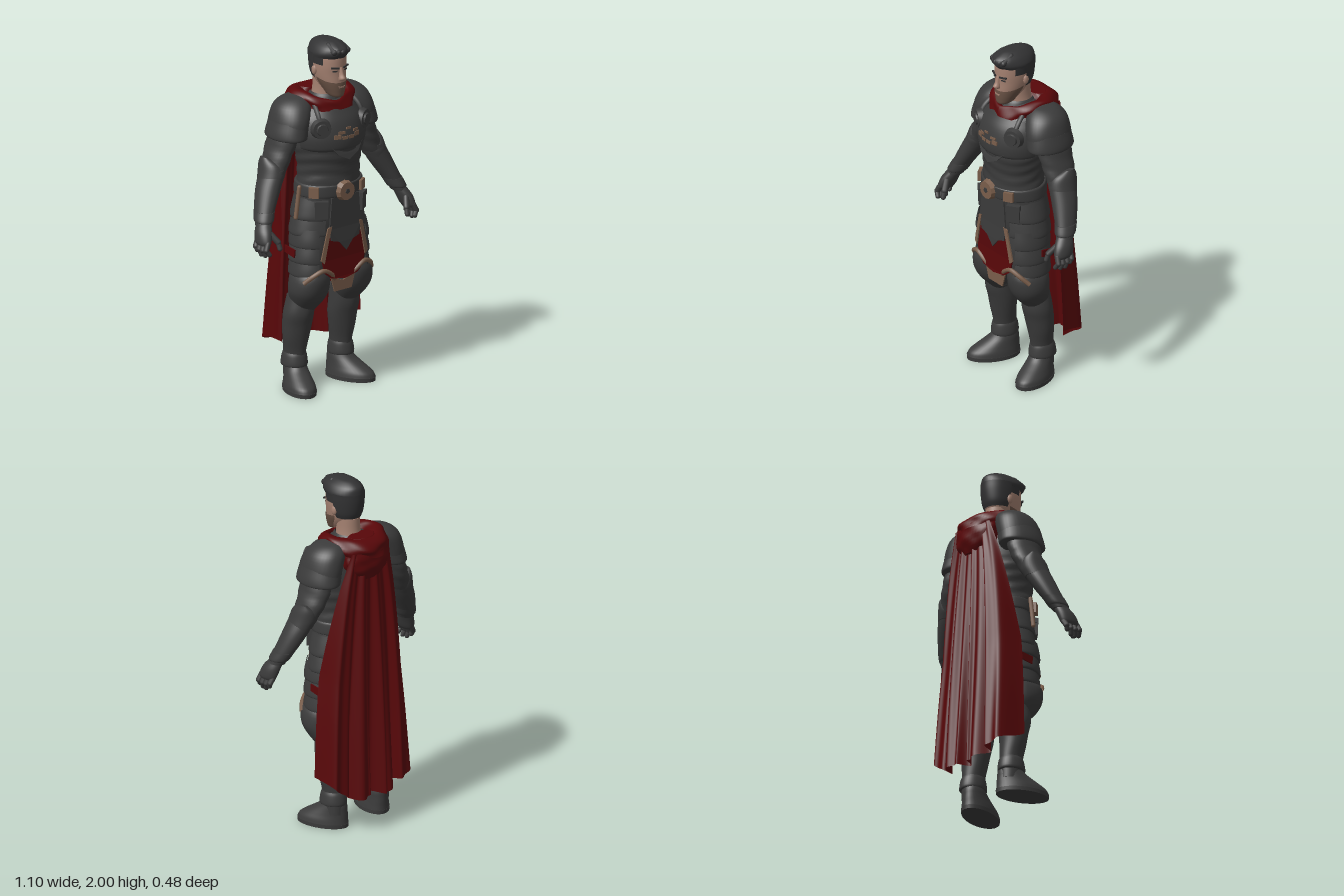
import * as THREE from 'three';
import { toCreasedNormals } from 'three/addons/utils/BufferGeometryUtils.js';

const material = (name, color) => Object.assign(new THREE.MeshStandardMaterial({ color, side: THREE.DoubleSide }), { name });
const V = (a) => new THREE.Vector3(...a);
const DEG = Math.PI / 180;

export function createModel() {
  const model = new THREE.Group();
  model.name = 'armouredKnight';
  const armour = material('dark armour', 0x3b3b3b), hairMat = material('hair', 0x323233);
  const red = material('red cloth', 0x580709), tan = material('tan leather', 0x7a5e4b);
  const skin = material('skin', 0xa38070), beardMat = material('beard', 0x685144);

  const add = (name, geometry, mat, pos = [0, 0, 0], rot = [0, 0, 0], scale = [1, 1, 1]) => {
    const m = new THREE.Mesh(geometry, mat);
    m.name = name;
    m.position.set(...pos); m.rotation.set(...rot); m.scale.set(...scale);
    model.add(m);
    return m;
  };

  // Smooth skin through horizontal rings [x, y, z, rx, rz], listed from the top down.
  // arc = [from, to] in degrees, 0 at the front and 90 at +x; side mirrors it in x; sag lowers points by their z.
  const loft = (name, mat, rings, { side = 1, arc = null, sub = 4, seg = 36, p = 2, ripple = () => 1, sag = () => 0 } = {}) => {
    const centre = new THREE.CatmullRomCurve3(rings.map((r) => V([r[0] * side, r[1], r[2]])), false, 'catmullrom');
    const radius = new THREE.CatmullRomCurve3(rings.map((r) => V([r[3], r[4], 0])), false, 'catmullrom');
    const rows = [], n = (rings.length - 1) * sub;
    for (let i = 0; i <= n; i++) rows.push([centre.getPoint(i / n), radius.getPoint(i / n), 1]);
    if (!arc) { // closed ends
      rows.unshift([rows[0][0], rows[0][1], 0], rows[0]);
      const end = rows[rows.length - 1];
      rows.push(end, [end[0], end[1], 0]);
    }
    const [a0, a1] = !arc ? [0, 360] : side > 0 ? arc : [-arc[1], -arc[0]];
    const cols = arc ? seg + 1 : seg, pos = [], idx = [];
    const pw = (v) => Math.sign(v) * Math.abs(v) ** (2 / p);
    rows.forEach(([c, r, k], j) => {
      for (let i = 0; i < cols; i++) {
        const a = (a0 + (a1 - a0) * i / seg) * DEG, f = k * ripple(a, c.y);
        const z = c.z + r.y * f * pw(Math.cos(a));
        pos.push(c.x + r.x * f * pw(Math.sin(a)), c.y - sag(z), z);
        if (j === rows.length - 1 || i === seg) continue;
        const A = j * cols + i, B = A + cols, D = j * cols + (i + 1) % cols, C = D + cols;
        idx.push(A, B, D, B, C, D);
      }
    });
    const g = new THREE.BufferGeometry();
    g.setAttribute('position', new THREE.Float32BufferAttribute(pos, 3));
    g.setIndex(idx);
    g.computeVertexNormals();
    return add(name, g, mat);
  };

  // Thin outlined plate laid on a surface z = zf(x).
  const panel = (name, mat, pts, zf, depth = 0.008, side = 1) => {
    const shape = new THREE.Shape(pts.map(([x, y]) => new THREE.Vector2(x * side, y)));
    const g = new THREE.ExtrudeGeometry(shape, { depth, bevelEnabled: false }), q = g.attributes.position;
    for (let i = 0; i < q.count; i++) q.setZ(i, q.getZ(i) + zf(q.getX(i)));
    g.computeVertexNormals();
    return add(name, g, mat);
  };

  // Rounded rod between two points, and a tube through several.
  const rod = (name, mat, a, b, r) => {
    const d = V(b).sub(V(a));
    const m = add(name, new THREE.CapsuleGeometry(r, d.length(), 4, 10), mat, V(a).add(V(b)).multiplyScalar(0.5).toArray());
    m.quaternion.setFromUnitVectors(V([0, 1, 0]), d.normalize());
  };
  const tube = (name, mat, pts, r) =>
    add(name, new THREE.TubeGeometry(new THREE.CatmullRomCurve3(pts.map(V)), 20, r, 6), mat);

  // Torso with creased cloth at the waist
  loft('torso', armour, [[0, 1.68, 0.02, 0.08, 0.07], [0, 1.64, 0.02, 0.16, 0.13], [0, 1.56, 0.05, 0.205, 0.16],
    [0, 1.48, 0.06, 0.21, 0.175], [0, 1.38, 0.06, 0.2, 0.17], [0, 1.28, 0.06, 0.182, 0.155], [0, 1.18, 0.06, 0.188, 0.155],
    [0, 1.08, 0.05, 0.205, 0.15], [0, 0.96, 0.05, 0.215, 0.135], [0, 0.84, 0.05, 0.17, 0.11]],
  { sub: 6, seg: 48, ripple: (a, y) => 1 + (y < 1.42 && y > 1.2 ? 0.018 * Math.sin(y * 95 + 2.2 * Math.sin(a * 2)) : 0) });
  loft('breastplate', armour, [[0, 1.62, 0.035, 0.18, 0.15], [0, 1.56, 0.05, 0.21, 0.172], [0, 1.48, 0.06, 0.22, 0.183],
    [0, 1.42, 0.06, 0.212, 0.182], [0, 1.4, 0.06, 0.2, 0.17]], { arc: [-85, 85] });
  const chest = (x) => 0.06 + 0.183 * Math.sqrt(1 - (x / 0.22) ** 2);
  panel('breastplatePoint', armour, [[-0.12, 1.44], [0.12, 1.44], [0.07, 1.38], [0, 1.345], [-0.07, 1.38]], (x) => chest(x) - 0.008);
  for (const [x, y, w, h] of [[-0.075, 1.485, 0.04, 0.024], [-0.032, 1.476, 0.034, 0.018], [0.01, 1.476, 0.034, 0.018], [0.055, 1.485, 0.036, 0.024],
    [-0.05, 1.508, 0.04, 0.016], [0.045, 1.51, 0.036, 0.014], [-0.008, 1.53, 0.03, 0.012]])
    panel('chestInlay', tan, [[x - w / 2, y - h / 2], [x + w / 2, y - h / 2], [x + w / 2, y + h / 2], [x - w / 2, y + h / 2]], (q) => chest(q) - 0.001, 0.005);

  // Belt and buckle
  loft('belt', armour, [[0, 1.2, 0.06, 0.193, 0.162], [0, 1.19, 0.06, 0.2, 0.165], [0, 1.14, 0.058, 0.205, 0.165], [0, 1.13, 0.057, 0.2, 0.16]]);
  const disc = (r, h, n) => toCreasedNormals(new THREE.CylinderGeometry(r * 0.85, r, h, n), 0.5);
  add('buckle', disc(0.06, 0.035, 12), tan, [-0.015, 1.165, 0.226], [Math.PI / 2, 0, 0]);
  add('buckleStud', disc(0.018, 0.008, 5), armour, [-0.015, 1.165, 0.243], [Math.PI / 2, 0, 0]);
  add('beltClasp', new THREE.BoxGeometry(0.055, 0.055, 0.02), tan, [0.125, 1.165, 0.195], [0, 0.5, 0]);
  add('beltClasp', new THREE.BoxGeometry(0.055, 0.06, 0.02), tan, [-0.178, 1.165, 0.15], [0, -0.9, 0]);
  for (const s of [1, -1]) {
    add('beltPouch', new THREE.BoxGeometry(0.07, 0.09, 0.04), armour, [s * 0.14, 1.06, 0.17], [0, s * 0.6, 0]);
    add('pouchFlap', new THREE.BoxGeometry(0.076, 0.03, 0.046), armour, [s * 0.14, 1.1, 0.17], [0, s * 0.6, 0]);
  }
  rod('hangingStrap', tan, [-0.222, 1.19, 0.08], [-0.247, 1.02, 0.08], 0.012);

  // Layered tabard
  const lap = (x) => 0.202 - 0.5 * x * x;
  panel('tabardRed', red, [[-0.1, 0.95], [0.1, 0.95], [0.15, 0.77], [0.135, 0.7], [0.09, 0.665], [0, 0.65], [-0.09, 0.665], [-0.135, 0.7], [-0.15, 0.77]], (x) => lap(x) - 0.006);
  panel('tabardDark', armour, [[-0.095, 1.13], [0.095, 1.13], [0.11, 0.95], [0.098, 0.885], [0.05, 0.87], [0.005, 0.815], [-0.045, 0.87], [-0.098, 0.885], [-0.11, 0.95]], (x) => lap(x) + 0.002);
  panel('tabardHem', tan, [[-0.085, 0.665], [0, 0.635], [0.085, 0.665], [0.06, 0.58], [-0.06, 0.58]], () => 0.18);
  for (const s of [1, -1])
    panel('tabardTrim', tan, [[0.095, 0.97], [0.122, 0.96], [0.165, 0.78], [0.143, 0.76], [0.118, 0.88]], (x) => lap(x) + 0.004, 0.008, s);

  for (const s of [1, -1]) {
    const o = { side: s }, X = (x) => x * s, leg = 0.16 - s * 0.012; // the stance is a little uneven
    // Hip and thigh plates
    for (const [y, r] of [[1.12, 0], [1.03, 0.012]])
      loft('hipPlate', armour, [[0, y, 0.05, 0.2 + r, 0.15], [0, y - 0.06, 0.05, 0.217 + r, 0.158], [0, y - 0.115, 0.05, 0.228 + r, 0.162], [0, y - 0.12, 0.05, 0.21 + r, 0.148]], { side: s, arc: [32, 165] });
    loft('thigh', armour, [[0.115, 0.98, 0.05, 0.09, 0.11], [0.125, 0.85, 0.055, 0.1, 0.125], [0.13, 0.73, 0.06, 0.095, 0.115],
      [0.14, 0.6, 0.055, 0.08, 0.1], [0.145, 0.48, 0.02, 0.07, 0.08]], o);
    for (const [y, r] of [[0.95, 0], [0.86, 0.004], [0.78, 0.004]])
      loft('thighPlate', armour, [[0.13, y, 0.06, 0.095 + r, 0.123], [0.132, y - 0.06, 0.064, 0.107 + r, 0.128], [0.133, y - 0.1, 0.064, 0.11 + r, 0.129], [0.133, y - 0.105, 0.064, 0.1, 0.12]], { side: s, arc: [18, 190] });
    const patch = panel('thighPatch', red, [[-0.035, 0.8], [0.045, 0.785], [0.05, 0.83], [-0.035, 0.84]], () => 0);
    patch.position.set(X(0.243), 0, 0.025);
    patch.rotation.y = s * Math.PI / 2;
    // Knee guard with leather edging
    loft('kneeGuard', armour, [[0.145, 0.71, 0.08, 0.075, 0.1], [0.15, 0.66, 0.08, 0.102, 0.115], [0.152, 0.59, 0.075, 0.108, 0.11],
      [0.15, 0.53, 0.057, 0.09, 0.098], [0.147, 0.46, 0.025, 0.055, 0.065]], { side: s, p: 2.2 });
    tube('kneeTrim', tan, [[X(0.055), 0.65, 0.18], [X(0.09), 0.69, 0.195], [X(0.145), 0.72, 0.197], [X(0.2), 0.695, 0.178], [X(0.24), 0.65, 0.14]], 0.013);
    // Greave with ridge, ankle band
    loft('greave', armour, [[leg - 0.01, 0.54, 0.02, 0.075, 0.08], [leg, 0.45, 0.015, 0.086, 0.084], [leg, 0.38, 0.002, 0.084, 0.08], [leg + 0.003, 0.3, -0.006, 0.075, 0.072],
      [leg + 0.003, 0.2, -0.018, 0.058, 0.066], [leg + 0.006, 0.08, -0.02, 0.055, 0.066]], { side: s, ripple: (a) => 1 + 0.06 * Math.max(0, Math.cos(a)) ** 12 });
    loft('ankleBand', armour, [[leg + 0.003, 0.215, -0.018, 0.058, 0.064], [leg + 0.004, 0.19, -0.018, 0.066, 0.074], [leg + 0.005, 0.14, -0.018, 0.07, 0.08], [leg + 0.005, 0.135, -0.018, 0.055, 0.06]], o);
    // Boot with a low toe, turned outwards
    const boot = loft('boot', armour, [[0, 0.15, -0.02, 0.055, 0.066], [0, 0.12, -0.01, 0.062, 0.083], [0, 0.095, 0.008, 0.067, 0.103], [0, 0.07, 0.028, 0.073, 0.125], [0, 0.045, 0.045, 0.08, 0.143], [0, 0.02, 0.05, 0.084, 0.15]]);
    const sole = loft('sole', armour, [[0, 0.022, 0.05, 0.085, 0.152], [0, 0, 0.05, 0.084, 0.15]]);
    for (const m of [boot, sole]) {
      m.position.x = X(leg + 0.004);
      m.rotation.y = s * 0.35;
    }
    // Pauldron in two tiers, sloping outwards
    loft('pauldron', armour, [[0.16, 1.695, -0.015, 0.02, 0.03], [0.175, 1.68, -0.015, 0.07, 0.075], [0.198, 1.64, -0.01, 0.098, 0.115],
      [0.222, 1.575, -0.002, 0.1, 0.135], [0.24, 1.5, 0, 0.095, 0.137]], o);
    loft('pauldronRim', armour, [[0.225, 1.565, 0, 0.1, 0.132], [0.24, 1.51, 0, 0.102, 0.14], [0.248, 1.475, 0, 0.098, 0.142], [0.248, 1.466, 0, 0.085, 0.125]], o);
    // Arm, elbow guard and gauntlet
    loft('upperArm', armour, [[0.25, 1.52, 0, 0.075, 0.105], [0.285, 1.42, -0.008, 0.068, 0.102], [0.315, 1.35, -0.006, 0.066, 0.092], [0.35, 1.27, 0.005, 0.06, 0.075]],
      { side: s, ripple: (a, y) => 1 + 0.025 * Math.sin(y * 80 + a * 2) });
    loft('elbowGuard', armour, [[0.387, 1.375, -0.025, 0.012, 0.025], [0.362, 1.34, -0.008, 0.05, 0.07], [0.357, 1.29, 0.003, 0.068, 0.084], [0.375, 1.24, 0.012, 0.066, 0.078]], o);
    loft('forearm', armour, [[0.345, 1.31, 0.004, 0.065, 0.08], [0.395, 1.21, 0.022, 0.065, 0.076], [0.45, 1.1, 0.055, 0.051, 0.064], [0.48, 1.03, 0.085, 0.042, 0.052]], o);
    loft('cuff', armour, [[0.452, 1.1, 0.056, 0.053, 0.066], [0.47, 1.055, 0.075, 0.051, 0.061], [0.475, 1.045, 0.08, 0.04, 0.05]], o);
    loft('palm', armour, [[0.478, 1.045, 0.085, 0.036, 0.046], [0.498, 1.0, 0.105, 0.039, 0.058], [0.511, 0.955, 0.118, 0.034, 0.06], [0.515, 0.935, 0.122, 0.024, 0.052]], o);
    for (let i = 0; i < 4; i++) {
      const z = 0.075 + i * 0.03, d = i === 0 ? 0.02 : i === 3 ? 0.01 : 0;
      const mid = [X(0.532), 0.91 + d * 0.5, z + 0.006];
      rod('finger', armour, [X(0.515), 0.95, z], mid, 0.016);
      rod('fingertip', armour, mid, [X(0.528 - i * 0.004), 0.88 + d, z + 0.014], 0.0135);
    }
    rod('thumb', armour, [X(0.482), 0.995, 0.145], [X(0.456), 0.95, 0.18], 0.017);
    rod('thumbTip', armour, [X(0.456), 0.95, 0.18], [X(0.452), 0.915, 0.192], 0.014);
    // Cape clasp and shoulder strap
    add('capeClasp', disc(0.06, 0.03, 20), armour, [X(0.15), 1.535, 0.183], [Math.PI / 2, 0, -s * 0.4]);
    add('claspBoss', disc(0.035, 0.012, 20), armour, [X(0.156), 1.535, 0.2], [Math.PI / 2, 0, -s * 0.4]);
    tube('shoulderStrap', armour, [[X(0.13), 1.66, 0.09], [X(0.145), 1.61, 0.145], [X(0.15), 1.56, 0.175]], 0.014);
    // Ear, eye and brow
    add('ear', new THREE.SphereGeometry(0.023, 12, 8), skin, [X(0.088), 1.83, 0.045], [0, 0, 0], [0.5, 1.2, 0.8]);
    add('eye', new THREE.BoxGeometry(0.026, 0.008, 0.008), hairMat, [X(0.036), 1.838, 0.16], [0, s * 0.3, 0]);
    add('brow', new THREE.BoxGeometry(0.046, 0.009, 0.009), hairMat, [X(0.037), 1.857, 0.165], [0, s * 0.3, s * 0.1]);
  }

  // Neck, collar, head and face
  loft('neck', skin, [[0, 1.78, 0.03, 0.062, 0.07], [0, 1.7, 0.025, 0.064, 0.07], [0, 1.62, 0.02, 0.08, 0.08]]);
  loft('collar', armour, [[0, 1.69, 0.025, 0.072, 0.078], [0, 1.675, 0.025, 0.083, 0.09], [0, 1.62, 0.03, 0.1, 0.11]], { arc: [0, 360] });
  loft('head', skin, [[0, 1.97, 0.05, 0.055, 0.08], [0, 1.93, 0.057, 0.083, 0.11], [0, 1.87, 0.06, 0.088, 0.112], [0, 1.82, 0.062, 0.085, 0.107],
    [0, 1.77, 0.075, 0.074, 0.095], [0, 1.73, 0.095, 0.057, 0.073], [0, 1.7, 0.11, 0.038, 0.05]], { p: 2.15 });
  loft('beard', beardMat, [[0, 1.785, 0.073, 0.08, 0.101], [0, 1.765, 0.077, 0.075, 0.098], [0, 1.73, 0.096, 0.06, 0.077], [0, 1.697, 0.11, 0.041, 0.054], [0, 1.694, 0.11, 0.005, 0.005]],
    { arc: [-100, 100], p: 2.15, sag: (z) => (z - 0.09) * 0.18 });
  panel('mouth', skin, [[-0.022, 1.75], [0.022, 1.75], [0.016, 1.74], [-0.016, 1.74]], () => 0.171, 0.004);
  loft('nose', skin, [[0, 1.86, 0.163, 0.01, 0.012], [0, 1.82, 0.17, 0.013, 0.018], [0, 1.797, 0.178, 0.018, 0.023], [0, 1.785, 0.17, 0.016, 0.016]], { seg: 12 });
  loft('hairCap', hairMat, [[0, 2.0, 0.065, 0.02, 0.04], [0, 1.993, 0.062, 0.045, 0.08], [0, 1.968, 0.066, 0.078, 0.125], [0, 1.935, 0.063, 0.097, 0.13], [0, 1.91, 0.053, 0.097, 0.12]],
    { ripple: (a) => 1 + 0.025 * Math.sin(a * 9) * Math.max(0, Math.cos(a)) });
  loft('hairBack', hairMat, [[0, 1.93, 0.056, 0.098, 0.125], [0, 1.88, 0.053, 0.096, 0.12], [0, 1.82, 0.048, 0.089, 0.106], [0, 1.785, 0.043, 0.076, 0.088]], { arc: [93, 267] });
  loft('sideburns', hairMat, [[0, 1.93, 0.058, 0.097, 0.124], [0, 1.87, 0.06, 0.092, 0.115]], { arc: [62, 298] });
  for (let i = 0; i < 5; i++)
    rod('quiffLock', hairMat, [-0.04 + i * 0.02, 1.975, 0.11], [-0.046 + i * 0.023, 1.95, 0.183 - Math.abs(i - 2) * 0.008], 0.018);

  // Draped cowl, resting high on the shoulders and sagging at the front, with a gathered hood
  const drape = (a, y) => 1 + 0.03 * Math.sin(a * 7 + y * 60) + 0.02 * Math.sin(a * 3 - y * 90);
  loft('cowl', red, [[0, 1.66, 0.025, 0.085, 0.095], [0, 1.695, 0.015, 0.112, 0.12], [0, 1.712, 0.005, 0.143, 0.143], [0, 1.705, -0.007, 0.172, 0.168],
    [0, 1.68, -0.013, 0.188, 0.186], [0, 1.635, -0.013, 0.184, 0.188]], { ripple: drape, arc: [0, 360], seg: 72, sag: (z) => z > 0 ? 2 * z * z : 0.8 * z * z });
  loft('hood', red, [[0, 1.7, -0.08, 0.08, 0.05], [0, 1.66, -0.1, 0.14, 0.082], [0, 1.59, -0.11, 0.15, 0.086], [0, 1.53, -0.115, 0.135, 0.08], [0, 1.475, -0.115, 0.085, 0.055]], { ripple: drape, seg: 48 });

  // Cape with folds that deepen towards a curved hem
  const cape = new THREE.PlaneGeometry(2, 1, 120, 40), q = cape.attributes.position;
  const widths = new THREE.SplineCurve([[0, 0.14], [0.17, 0.2], [0.4, 0.25], [0.7, 0.29], [1, 0.312]].map((w) => new THREE.Vector2(...w)));
  for (let i = 0; i < q.count; i++) {
    const u = q.getX(i), w = widths.getPoint(0.5 - q.getY(i)), v = w.x;
    const fold = Math.sin(u * 12 + 0.6 + v * 0.5) * 0.65 + Math.sin(u * 25 + 2 - v) * 0.35;
    const hem = 0.2 + 0.13 * Math.abs(u) ** 3 + 0.01 * Math.sin(u * 9);
    q.setXYZ(i, u * w.y + 0.01 * v * Math.sin(u * 17) + 0.01 * u * u * v, 1.64 + (hem - 1.64) * v,
      -0.155 - 0.045 * v + 0.13 * u ** 6 * Math.min(1, v * 1.8) + (0.01 + 0.042 * v) * fold);
  }
  cape.computeVertexNormals();
  add('cape', cape, red);
  return model;
}
